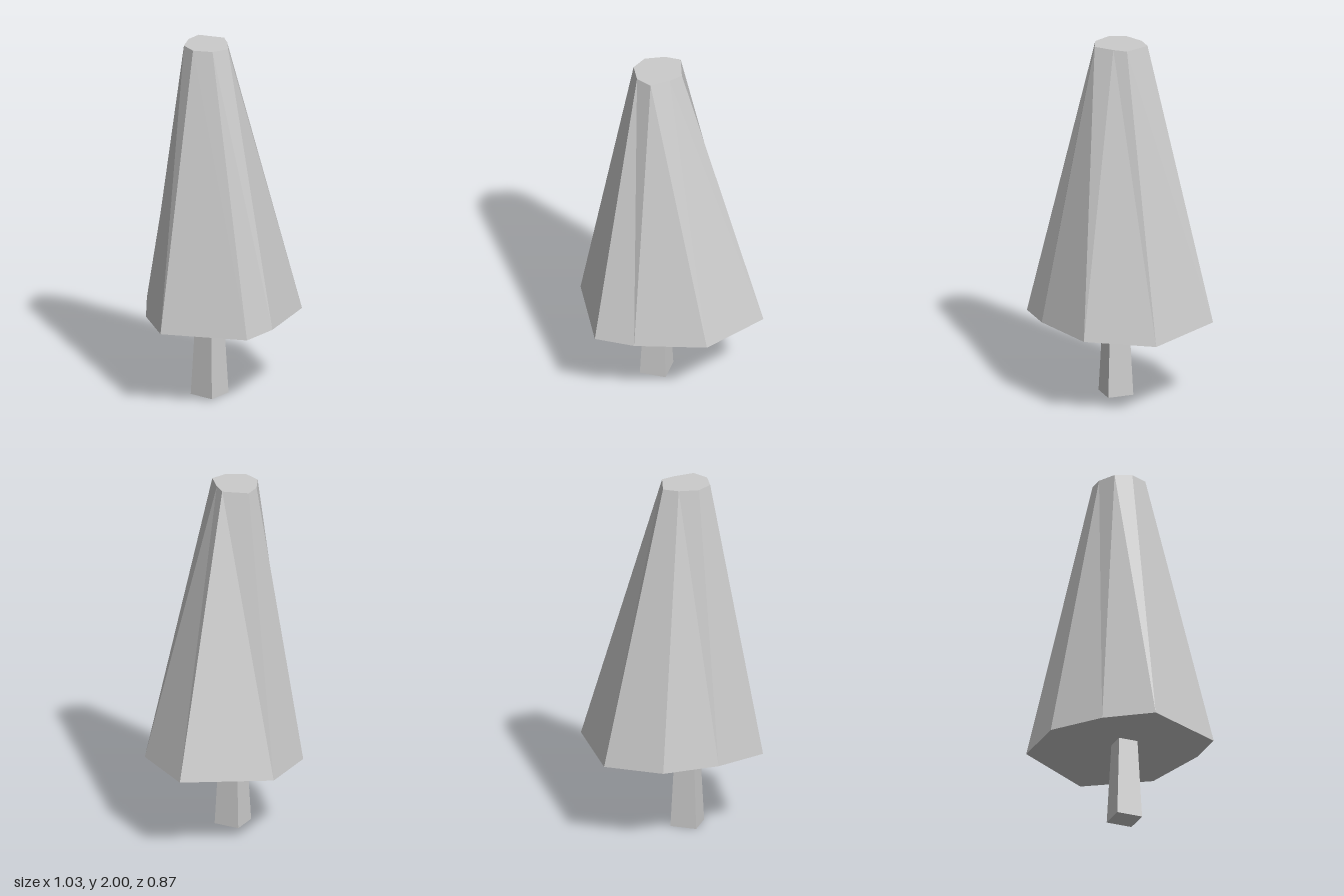
import * as THREE from 'three';

// Faceted solid between two matching rings of [x, z] corners
function loft(name, lower, y0, upper, y1) {
  const n = lower.length;
  const pos = [];
  const add = (...pts) => pts.forEach((p) => pos.push(...p));
  const ring = (pts, y) => pts.map(([x, z]) => [x, y, z]);
  const centre = (pts) => [0, 1, 2].map((k) => pts.reduce((s, p) => s + p[k], 0) / n);
  const lo = ring(lower, y0), hi = ring(upper, y1);
  const cl = centre(lo), ch = centre(hi);
  for (let i = 0; i < n; i++) {
    const j = (i + 1) % n;
    add(lo[i], hi[i], hi[j], lo[i], hi[j], lo[j]); // side
    add(ch, hi[j], hi[i]); // top cap
    add(cl, lo[i], lo[j]); // bottom cap
  }
  const geo = new THREE.BufferGeometry();
  geo.setAttribute('position', new THREE.Float32BufferAttribute(pos, 3));
  geo.computeVertexNormals();
  const mesh = new THREE.Mesh(geo, new THREE.MeshStandardMaterial({ color: 0xcccccc, flatShading: true }));
  mesh.name = name;
  return mesh;
}

// Square ring around the trunk axis
const square = (cx, h) => [[cx + h, -h], [cx + h, h], [cx - h, h], [cx - h, -h]];

export function createModel() {
  const group = new THREE.Group();
  group.name = 'tree';

  // Tapered square trunk
  group.add(loft('trunk', square(-0.087, 0.073), 0, square(-0.087, 0.054), 0.456));

  // Irregular eight-sided foliage with a flat top
  const skirt = [[0.25, -0.434], [0.517, 0], [0.297, 0.335], [-0.086, 0.432],
    [-0.308, 0.432], [-0.517, 0], [-0.34, -0.24], [-0.086, -0.434]];
  const crown = [[0.005, -0.148], [0.053, -0.01], [0.003, 0.05], [-0.084, 0.125],
    [-0.172, 0.087], [-0.22, -0.01], [-0.185, -0.1], [-0.084, -0.148]];
  group.add(loft('foliage', skirt, 0.456, crown, 2));

  return group;
}
